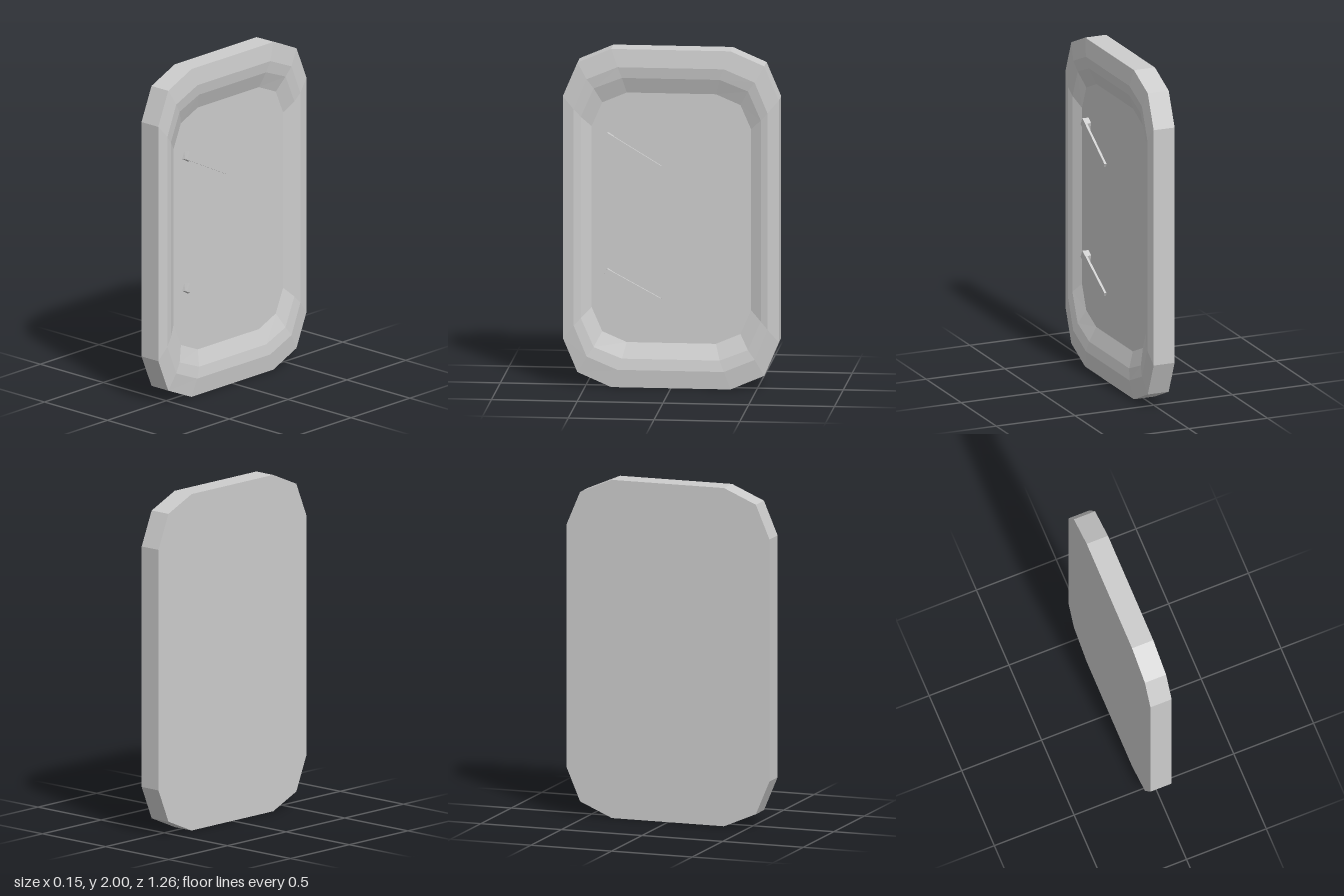
import * as THREE from 'three';

const panelGrey = new THREE.MeshStandardMaterial({ color: 0xcccccc });
panelGrey.name = 'panelGrey';
panelGrey.flatShading = true;

// Faceted solid through a list of sections; each section is { x, pts: [[u, y], ...] }
// with u = -z, counter-clockwise as seen from +x, and both ends closed.
function loft(name, sections) {
  const rings = sections.map(({ x, pts }) => pts.map(([u, y]) => [x, y, -u]));
  const pos = [];
  const tri = (a, b, c) => pos.push(...a, ...b, ...c);
  const n = rings[0].length;
  for (let r = 0; r + 1 < rings.length; r++) {
    const a = rings[r], b = rings[r + 1];
    for (let i = 0; i < n; i++) {
      const j = (i + 1) % n;
      tri(a[i], a[j], b[j]);
      tri(a[i], b[j], b[i]);
    }
  }
  const first = rings[0], last = rings[rings.length - 1];
  for (let i = 1; i + 1 < n; i++) {
    tri(first[0], first[i + 1], first[i]);
    tri(last[0], last[i], last[i + 1]);
  }
  const geo = new THREE.BufferGeometry();
  geo.setAttribute('position', new THREE.Float32BufferAttribute(pos, 3));
  geo.computeVertexNormals();
  const mesh = new THREE.Mesh(geo, panelGrey);
  mesh.name = name;
  return mesh;
}

// Mirror three corner points into a full rounded rectangle centred on y = 1
function outline(x, corner) {
  const back = [...corner].reverse();
  const pts = [
    ...corner,
    ...back.map(([u, v]) => [-u, v]),
    ...corner.map(([u, v]) => [-u, -v]),
    ...back.map(([u, v]) => [u, -v]),
  ];
  return { x, pts: pts.map(([u, v]) => [u, v + 1]) };
}

// Small tapered bar standing off the floor on a foot; left and right are end heights
function handle(left, right) {
  const group = new THREE.Group();
  group.name = 'handle';
  const bar = [[-0.395, left], [-0.065, right], [-0.055, right + 0.02], [-0.37, left + 0.045]];
  group.add(loft('handleBar', [{ x: 0.052, pts: bar }, { x: 0.066, pts: bar }]));
  group.add(loft('handleFoot', [
    { x: 0.02, pts: [[-0.393, left - 0.006], [-0.348, left - 0.033], [-0.335, left + 0.02], [-0.37, left + 0.043]] },
    { x: 0.053, pts: [[-0.394, left], [-0.35, left - 0.021], [-0.335, left + 0.02], [-0.37, left + 0.044]] },
  ]));
  return group;
}

export function createModel() {
  const model = new THREE.Group();
  model.name = 'hatchDoor';

  // Slab with a raised rim and a sunken floor on the +x side
  const outer = [[0.63, 0.715], [0.545, 0.915], [0.348, 1]];
  model.add(loft('doorPanel', [
    outline(-0.075, outer),
    outline(0.058, outer),
    outline(0.07, [[0.565, 0.64], [0.49, 0.82], [0.31, 0.895]]),
    outline(0.06, [[0.525, 0.595], [0.45, 0.765], [0.285, 0.83]]),
    outline(0.026, [[0.465, 0.535], [0.403, 0.677], [0.26, 0.738]]),
  ]));

  // Upper and lower handles
  model.add(handle(1.46, 1.295), handle(0.655, 0.51));
  return model;
}
